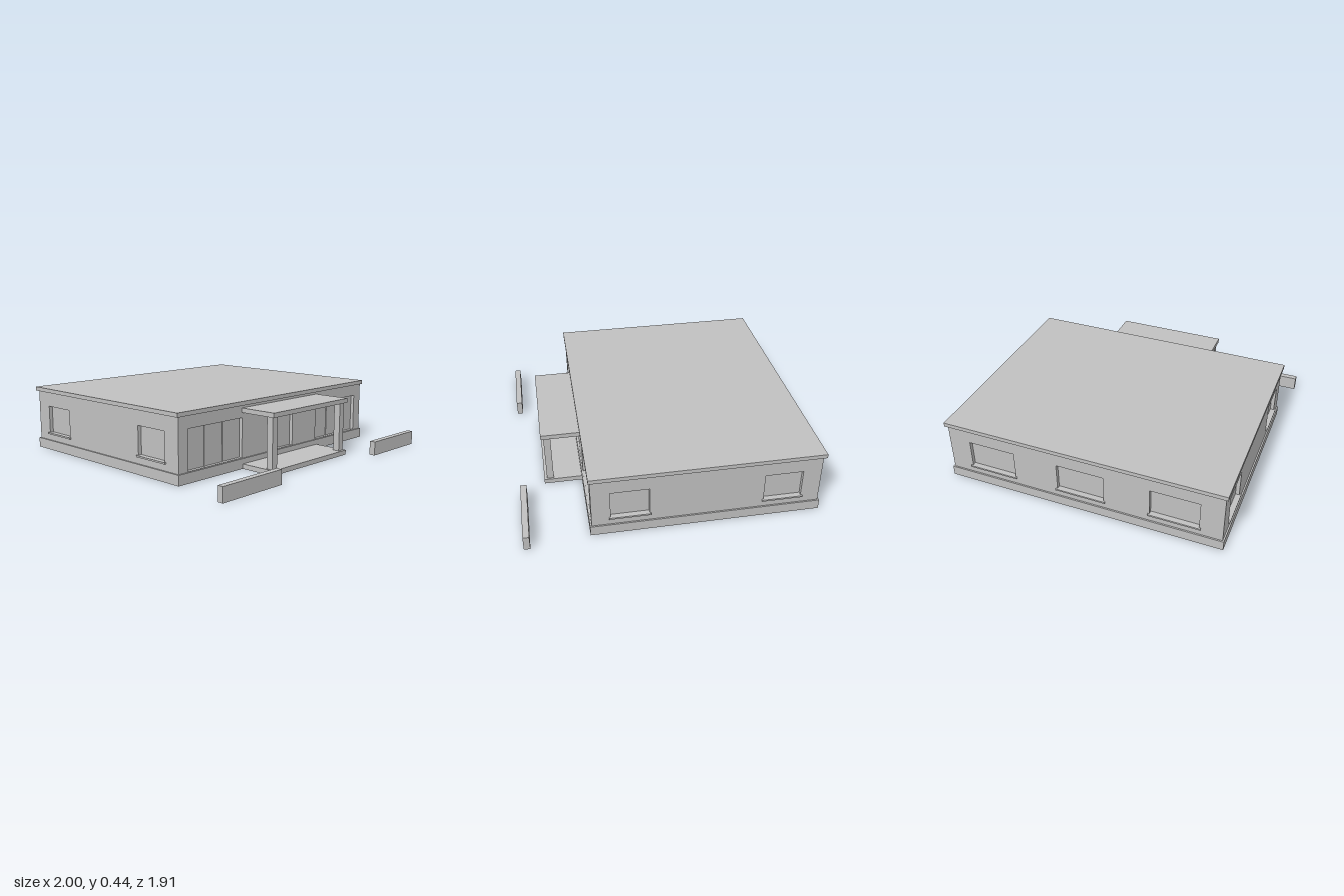
import * as THREE from 'three';

export function createModel() {
  const model = new THREE.Group();
  model.name = 'building';
  const grey = new THREE.MeshStandardMaterial({ color: 0xc0c0c0 });
  grey.name = 'plain grey';

  // Box given by its min and max on each axis
  function box(name, x0, x1, y0, y1, z0, z1, parent = model) {
    const mesh = new THREE.Mesh(new THREE.BoxGeometry(x1 - x0, y1 - y0, z1 - z0), grey);
    mesh.position.set((x0 + x1) / 2, (y0 + y1) / 2, (z0 + z1) / 2);
    mesh.name = name;
    parent.add(mesh);
    return mesh;
  }

  const BASE = 0.067, TOP = 0.41, T = 0.03;      // wall bottom, top, thickness
  const HX = 0.935, ZF = 0.53, ZB = -0.935;      // outer wall faces
  const ZC = (ZF + ZB) / 2;

  // Wall with its outer face on local z = 0; openings are recessed panes
  function wall(name, width, openings, x, z, turn) {
    const group = new THREE.Group();
    group.name = name;
    const w = width / 2;
    const shape = new THREE.Shape([
      new THREE.Vector2(-w, BASE), new THREE.Vector2(w, BASE),
      new THREE.Vector2(w, TOP), new THREE.Vector2(-w, TOP),
    ]);
    for (const o of openings) {
      const a = o.x - o.w / 2, b = o.x + o.w / 2;
      shape.holes.push(new THREE.Path([
        new THREE.Vector2(a, o.y0), new THREE.Vector2(a, o.y1),
        new THREE.Vector2(b, o.y1), new THREE.Vector2(b, o.y0),
      ]));
      box(o.kind + 'Pane', a, b, o.y0, o.y1, -T, -T + 0.005, group);
      if (o.sill) box('windowSill', a - 0.01, b + 0.01, o.y0 - 0.009, o.y0 + 0.002, -T + 0.004, 0.012, group);
      for (let i = 1; i < (o.panels || 1); i++) {
        const m = a + (o.w * i) / o.panels;
        box('mullion', m - 0.003, m + 0.003, o.y0, o.y1, -T + 0.004, -T + 0.01, group);
      }
    }
    const geometry = new THREE.ExtrudeGeometry(shape, { depth: T, bevelEnabled: false });
    geometry.translate(0, 0, -T);
    const mesh = new THREE.Mesh(geometry, grey);
    mesh.name = name + 'Panel';
    group.add(mesh);
    group.position.set(x, 0, z);
    group.rotation.y = turn;
    model.add(group);
  }

  const sillWindow = (x, w) => ({ kind: 'window', x, w, y0: 0.12, y1: 0.31, sill: true });
  const shopWindow = (x) => ({ kind: 'shopWindow', x, w: 0.475, y0: 0.07, y1: 0.33, panels: 3 });

  // Plinth and flat roof
  box('plinth', -0.945, 0.945, 0, BASE, -0.945, 0.54);
  box('roof', -0.95, 0.95, TOP, 0.437, -0.953, 0.54);

  // Four walls
  wall('frontWall', HX * 2, [
    shopWindow(-0.622), shopWindow(0.622),
    { kind: 'door', x: 0, w: 0.25, y0: 0.07, y1: 0.32 },
  ], 0, ZF, 0);
  wall('backWall', HX * 2, [-0.625, 0, 0.625].map((x) => sillWindow(x, 0.32)), 0, ZB, Math.PI);
  const sideLength = ZF - ZB - 2 * T;
  for (const s of [1, -1]) {
    const windows = [0.287, -0.692].map((z) => sillWindow(-s * (z - ZC), 0.246));
    wall(s > 0 ? 'leftWall' : 'rightWall', sideLength, windows, s * HX, ZC, s * Math.PI / 2);
  }

  // Entrance porch
  box('porchSlab', -0.388, 0.388, 0, 0.032, 0.535, 0.793);
  box('porchCanopy', -0.388, 0.388, 0.364, 0.394, 0.525, 0.793);
  for (const s of [1, -1]) {
    const c = s * 0.352;
    box('porchColumn', c - 0.023, c + 0.023, 0.032, 0.364, 0.729, 0.775);
    // Low garden wall either side of the approach
    const g = s * 0.75;
    box('gardenWall', g - 0.25, g + 0.25, 0, 0.095, 0.913, 0.953);
  }

  return model;
}
